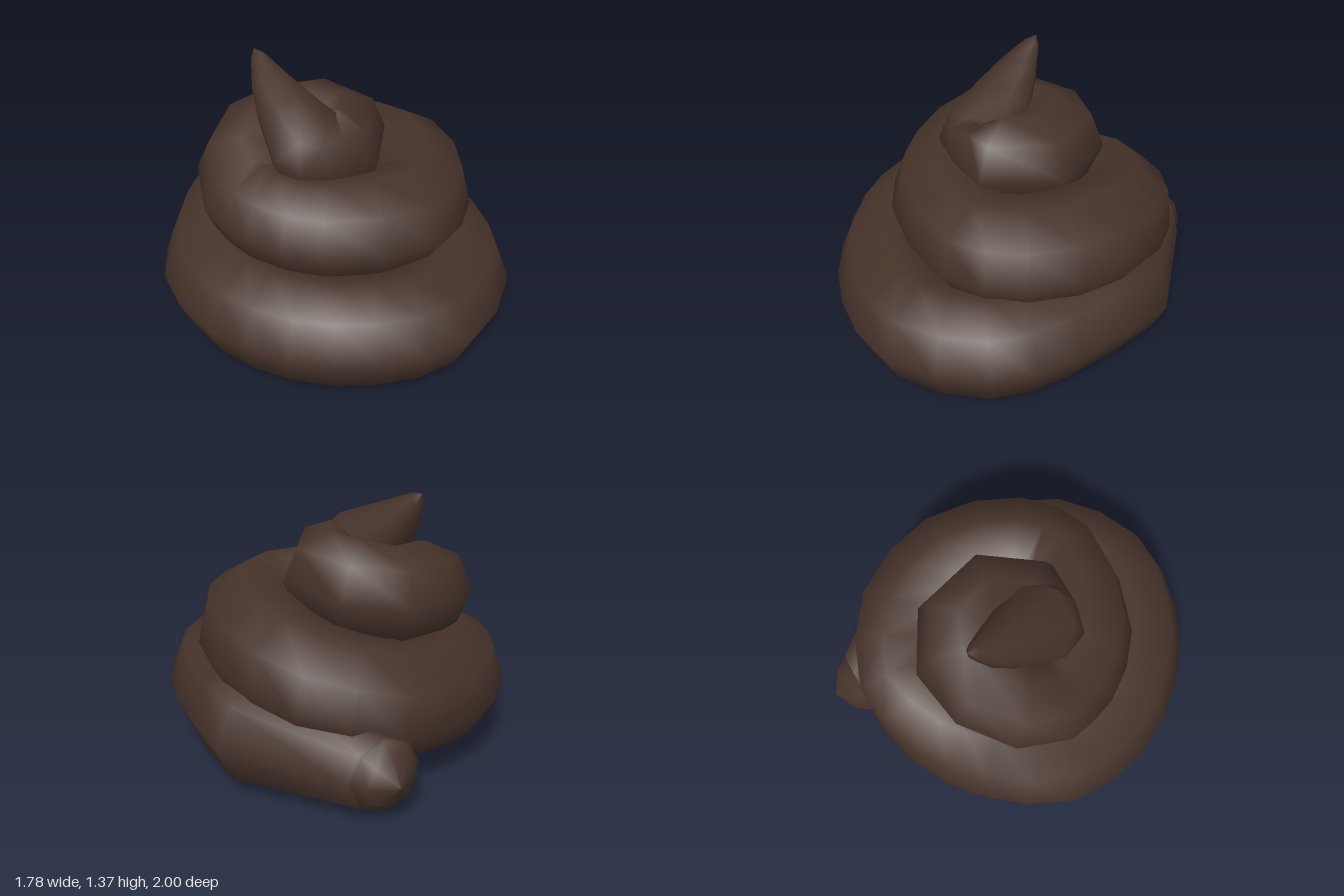
import * as THREE from 'three';

const SIDES = 8;

// Blunt lower end, pointing backwards: centre x, y, z, radius
const END = [
  [0.28, 0.24, -1.0, 0], [0.28, 0.24, -0.933, 0.13],
  [0.28, 0.24, -0.86, 0.175], [0.28, 0.24, -0.855, 0.195],
];

// Outermost line of the two wide turns: x, y, z, tube radius, twist in degrees
const WIDE = [
  [0.887, 0.28, -0.32, 0.28, 0], [0.867, 0.28, 0.26, 0.28, 0], [0.72, 0.28, 0.69, 0.28, 0],
  [0.27, 0.28, 0.993, 0.28, 0], [-0.2, 0.28, 0.945, 0.28, 0], [-0.58, 0.285, 0.71, 0.28, 0],
  [-0.83, 0.29, 0.34, 0.28, 0], [-0.885, 0.305, -0.13, 0.28, 0], [-0.63, 0.355, -0.555, 0.28, 4],
  [-0.29, 0.41, -0.79, 0.28, 13], [0.15, 0.475, -0.86, 0.28, 21], [0.6, 0.56, -0.62, 0.28, 15],
  [0.8, 0.635, -0.13, 0.285, 8], [0.645, 0.655, 0.4, 0.28, 8], [0.29, 0.66, 0.645, 0.277, 8],
  [-0.29, 0.67, 0.545, 0.27, 4], [-0.58, 0.69, 0.245, 0.255, 0], [-0.665, 0.72, -0.03, 0.25, 0],
];

// Outermost line of the tight top turn; the last point only guides the direction
const TIGHT = [
  [-0.59, 0.8, -0.31, 0.25, 0], [-0.35, 0.86, -0.52, 0.25, 0], [-0.04, 0.875, -0.58, 0.25, 0],
  [0.26, 0.91, -0.42, 0.25, 0], [0.375, 0.925, -0.04, 0.245, 0], [0.135, 0.93, 0.29, 0.24, 0],
  [-0.2, 0.945, 0.255, 0.23, 0],
];

// Turn into the pointed tip: centre x, y, z, radius, then direction
const TIP = [
  [-0.07, 0.95, 0.06, 0.23, -0.9, 0.4, -0.13], [-0.13, 0.965, 0.06, 0.23, -0.62, 0.62, -0.47],
  [-0.115, 0.99, 0.05, 0.225, -0.16, 0.65, -0.74], [-0.17, 1.13, -0.11, 0.155, -0.16, 0.65, -0.74],
  [-0.2, 1.24, -0.235, 0.1, -0.1, 0.7, -0.7], [-0.215, 1.34, -0.33, 0.04, -0.1, 0.7, -0.7],
  [-0.22, 1.372, -0.362, 0, -0.1, 0.7, -0.7],
];

const UP = new THREE.Vector3(0, 1, 0);
const sideOf = (t) => new THREE.Vector3().crossVectors(t, UP).normalize();
const toPoint = ([x, y, z, r, twist = 0]) => ({
  p: new THREE.Vector3(x, y, z), r, twist: THREE.MathUtils.degToRad(twist),
});

// Smooth subdivision of the control points, radius and twist included
function subdivide(points, steps) {
  const { lerp } = THREE.MathUtils;
  const curve = new THREE.CatmullRomCurve3(points.map((q) => q.p));
  const spans = points.length - 1;
  const result = [];
  for (let i = 0; i <= spans * steps; i++) {
    const u = i / steps;
    const k = Math.min(Math.floor(u), spans - 1);
    const a = points[k], b = points[k + 1];
    result.push({ p: curve.getPoint(u / spans), r: lerp(a.r, b.r, u - k), twist: lerp(a.twist, b.twist, u - k) });
  }
  return result;
}

// Add the direction of travel at each point
function withTangents(points) {
  return points.map((q, i) => {
    const t = new THREE.Vector3();
    if (i > 0) t.add(q.p.clone().sub(points[i - 1].p).normalize());
    if (i < points.length - 1) t.add(points[i + 1].p.clone().sub(q.p).normalize());
    return { ...q, t: t.normalize() };
  });
}

// Move rings from the outermost line inwards to the tube's centre
const inset = (rings) => rings.map((q) => ({
  ...q, p: q.p.clone().addScaledVector(sideOf(q.t), q.r * Math.cos(q.twist)),
}));

// Sweep an octagon of changing radius through the rings
function sweep(rings) {
  const positions = [];
  const index = [];
  rings.forEach(({ p, r, t, twist }, i) => {
    const side = sideOf(t);
    const normal = new THREE.Vector3().crossVectors(side, t);
    for (let j = 0; j < SIDES; j++) {
      const a = (j / SIDES) * Math.PI * 2 + twist;
      const v = p.clone().addScaledVector(side, r * Math.cos(a)).addScaledVector(normal, r * Math.sin(a));
      positions.push(v.x, v.y, v.z);
      if (i === rings.length - 1) continue;
      const a0 = i * SIDES + j, b0 = i * SIDES + ((j + 1) % SIDES);
      const a1 = a0 + SIDES, b1 = b0 + SIDES;
      index.push(a0, a1, b0, b0, a1, b1);
    }
  });
  const geometry = new THREE.BufferGeometry();
  geometry.setAttribute('position', new THREE.Float32BufferAttribute(positions, 3));
  geometry.setIndex(index);
  geometry.computeVertexNormals();
  return geometry;
}

export function createModel() {
  const group = new THREE.Group();
  group.name = 'swirl';

  const brown = new THREE.MeshStandardMaterial({ color: 0x46332a });
  brown.name = 'dark brown';

  const outline = [...subdivide(WIDE.map(toPoint), 2), ...TIGHT.map(toPoint)];
  const rings = [
    ...withTangents(END.map(toPoint)),
    ...inset(withTangents(outline).slice(0, -1)),
    ...TIP.map(([x, y, z, r, ...d]) => ({
      ...toPoint([x, y, z, r]), t: new THREE.Vector3(...d).normalize(),
    })),
  ];
  const coil = new THREE.Mesh(sweep(rings), brown);
  coil.name = 'coil';
  group.add(coil);
  return group;
}
